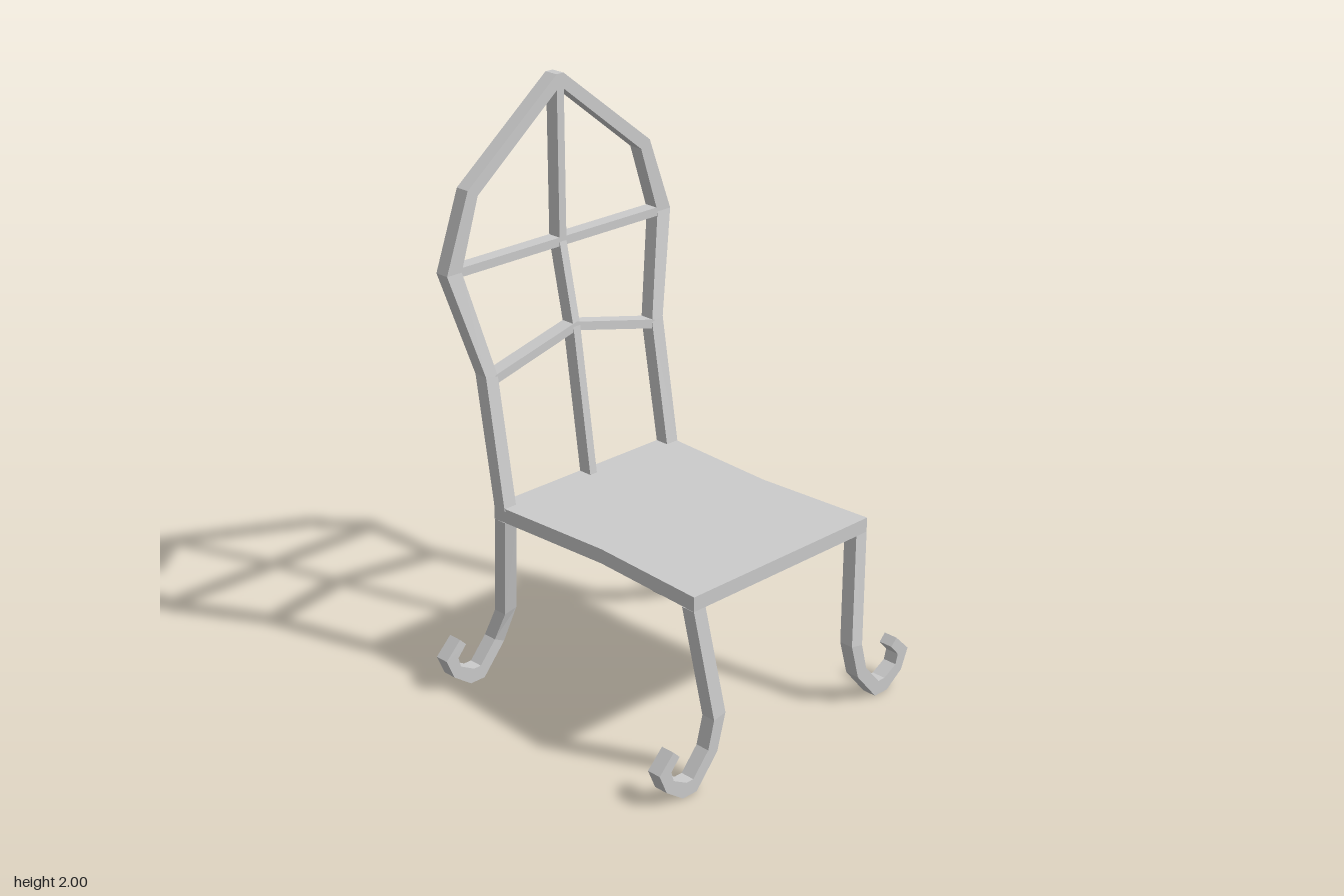
import * as THREE from 'three';

const material = new THREE.MeshStandardMaterial({ color: 0xcccccc, flatShading: true });

// Bar lofted through rows [rightX, rightY, leftX, leftY, frontZ, backZ];
// right and left are as seen when travelling along the bar. side = -1 mirrors it.
function bar(name, rows, side = 1) {
  const rings = rows.map(([rx, ry, lx, ly, f, b]) => [
    [rx * side, ry, f], [lx * side, ly, f], [lx * side, ly, b], [rx * side, ry, b],
  ]);
  const pos = [];
  const quad = (a, b, c, d) => {
    const corners = side > 0 ? [a, b, c, a, c, d] : [a, c, b, a, d, c];
    corners.forEach((p) => pos.push(...p));
  };
  for (let k = 0; k < rings.length - 1; k++) {
    const a = rings[k], b = rings[k + 1];
    for (let i = 0; i < 4; i++) {
      const j = (i + 1) % 4;
      quad(a[i], b[i], b[j], a[j]);
    }
  }
  quad(...rings[0]);
  quad(...rings[rings.length - 1].slice().reverse());
  const geometry = new THREE.BufferGeometry();
  geometry.setAttribute('position', new THREE.Float32BufferAttribute(pos, 3));
  geometry.computeVertexNormals();
  const mesh = new THREE.Mesh(geometry, material);
  mesh.name = name;
  return mesh;
}

// Leg outline from seat to curled toe: [innerX, innerY, outerX, outerY]
const legOutline = [
  [0.345, 0.60, 0.395, 0.60],
  [0.295, 0.23, 0.345, 0.22],
  [0.33, 0.105, 0.37, 0.125],
  [0.42, 0, 0.435, 0.05],
  [0.48, 0, 0.465, 0.05],
  [0.55, 0.05, 0.52, 0.08],
  [0.58, 0.12, 0.53, 0.115],
  [0.52, 0.18, 0.495, 0.155],
];
// Front face z of each leg at top, knee, and foot
const legs = { frontLeg: [0.505, 0.545, 0.545], backLeg: [-0.36, -0.433, -0.46] };

export function createModel() {
  const group = new THREE.Group();

  // Seat with pinched sides
  const outline = new THREE.Shape([
    [-0.395, -0.505], [0.395, -0.505], [0.37, -0.07],
    [0.395, 0.412], [-0.395, 0.412], [-0.37, -0.07],
  ].map(([x, y]) => new THREE.Vector2(x, y)));
  const seatGeometry = new THREE.ExtrudeGeometry(outline, { depth: 0.05, bevelEnabled: false });
  seatGeometry.rotateX(-Math.PI / 2).translate(0, 0.6, 0);
  const seat = new THREE.Mesh(seatGeometry, material);
  seat.name = 'seat';
  group.add(seat);

  for (const side of [1, -1]) {
    const prefix = side > 0 ? 'left' : 'right';

    // Scrolled legs
    for (const [name, z] of Object.entries(legs)) {
      const rows = legOutline.map((p, i) => {
        const front = z[Math.min(i, 2)];
        return [...p, front, front - 0.051];
      });
      group.add(bar(`${prefix} ${name}`, rows, side));
    }

    // Half of the pointed backrest frame
    group.add(bar(`${prefix} backFrame`, [
      [0.395, 0.64, 0.345, 0.64, -0.36, -0.41],
      [0.395, 1.09, 0.345, 1.08, -0.433, -0.485],
      [0.49, 1.44, 0.43, 1.44, -0.493, -0.545],
      [0.395, 1.70, 0.355, 1.675, -0.493, -0.545],
      [0.015, 2.0, 0.012, 1.95, -0.493, -0.545],
      [0, 2.0, 0, 1.958, -0.493, -0.545],
    ], side));

    // Half of the lower chevron rail
    group.add(bar(`${prefix} chevronRail`, [
      [0, 1.145, 0, 1.175, -0.433, -0.485],
      [0.355, 1.055, 0.355, 1.087, -0.433, -0.485],
    ], side));
  }

  // Straight upper rail
  group.add(bar('upperRail', [
    [-0.45, 1.425, -0.45, 1.455, -0.493, -0.543],
    [0.45, 1.425, 0.45, 1.455, -0.493, -0.543],
  ]));

  // Central spindle following the lean of the frame
  group.add(bar('centreSpindle', [
    [0.64, -0.36], [1.16, -0.433], [1.44, -0.493], [1.97, -0.493],
  ].map(([y, z]) => [0.015, y, -0.015, y, z, z - 0.05])));

  return group;
}
